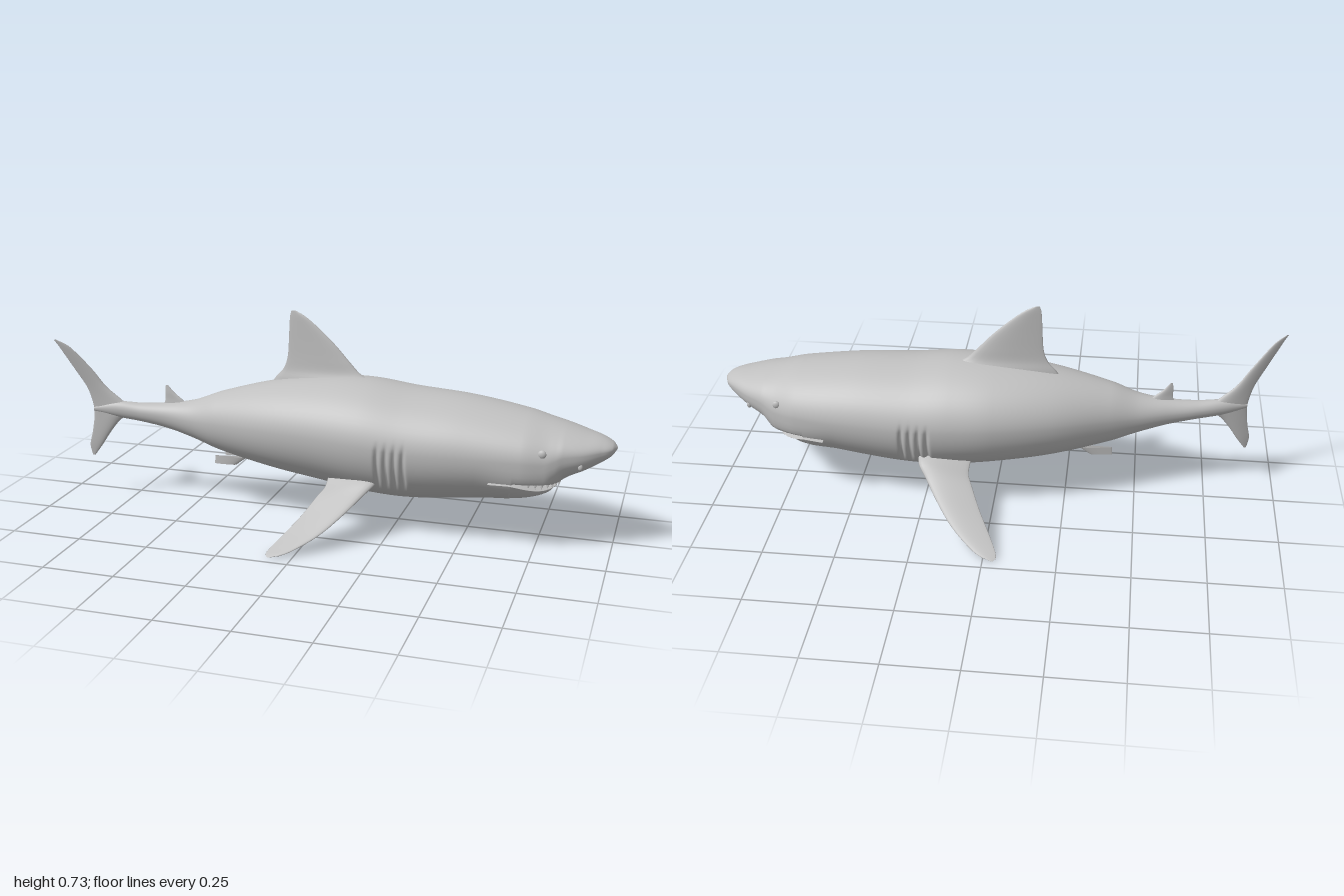
import * as THREE from 'three';

const skin = new THREE.MeshStandardMaterial({ color: 0xc0c0c0, side: THREE.DoubleSide });
skin.name = 'grey skin';
const ivory = new THREE.MeshStandardMaterial({ color: 0xdedede, side: THREE.DoubleSide });
ivory.name = 'pale teeth';

// Smooth interpolation of table rows [key, ...values]
function sample(rows, k) {
  let i = 0;
  while (i < rows.length - 2 && k > rows[i + 1][0]) i++;
  const a = rows[i], b = rows[i + 1], h = b[0] - a[0];
  const t = THREE.MathUtils.clamp((k - a[0]) / h, 0, 1);
  const p = rows[Math.max(i - 1, 0)], q = rows[Math.min(i + 2, rows.length - 1)];
  return a.slice(1).map((_, n) => {
    const c = n + 1;
    const m0 = (b[c] - p[c]) / (b[0] - p[0]) * h, m1 = (q[c] - a[c]) / (q[0] - a[0]) * h;
    const t2 = t * t, t3 = t2 * t;
    return (2 * t3 - 3 * t2 + 1) * a[c] + (t3 - 2 * t2 + t) * m0 + (3 * t2 - 2 * t3) * b[c] + (t3 - t2) * m1;
  });
}

// Skin a list of closed rings of [x, y, z]
function loft(name, rings) {
  const n = rings[0].length, index = [];
  for (let i = 0; i < rings.length - 1; i++) {
    for (let j = 0; j < n; j++) {
      const a = i * n + j, b = i * n + (j + 1) % n;
      index.push(a, a + n, b, b, a + n, b + n);
    }
  }
  const g = new THREE.BufferGeometry();
  g.setAttribute('position', new THREE.Float32BufferAttribute(rings.flat(2), 3));
  g.setIndex(index);
  g.computeVertexNormals();
  const mesh = new THREE.Mesh(g, skin);
  mesh.name = name;
  return mesh;
}

// Body: x, bottom, top, half width
const PROFILE = [
  [-0.88, 0.33, 0.345, 0.004], [-0.8, 0.31, 0.367, 0.02], [-0.7, 0.295, 0.365, 0.03],
  [-0.6, 0.275, 0.372, 0.042], [-0.5, 0.245, 0.39, 0.066], [-0.4, 0.21, 0.428, 0.1],
  [-0.2, 0.165, 0.48, 0.166], [0, 0.135, 0.508, 0.208], [0.15, 0.115, 0.512, 0.222],
  [0.3, 0.11, 0.496, 0.22], [0.5, 0.13, 0.482, 0.208], [0.7, 0.16, 0.453, 0.183],
  [0.78, 0.18, 0.435, 0.158], [0.81, 0.212, 0.428, 0.146], [0.835, 0.245, 0.422, 0.135],
  [0.9, 0.28, 0.405, 0.105], [0.95, 0.31, 0.392, 0.072], [0.985, 0.336, 0.376, 0.04], [1, 0.358, 0.36, 0.001],
];
// Sideways bend of the spine: x, z
const SPINE = [[-1, 0.143], [-0.88, 0.092], [-0.8, 0.072], [-0.6, 0.045], [-0.4, 0.03],
  [-0.2, 0.015], [0, 0.008], [0.15, 0.012], [0.4, 0.018], [0.6, 0.025], [0.8, 0.04], [0.9, 0.05], [1, 0.06]];
const spineZ = x => sample(SPINE, x)[0];
const step = THREE.MathUtils.smoothstep;
const upperLip = (x, bot) => bot + (0.247 - bot) * step(x, 0.655, 0.68);
const lowerLip = x => 0.24 - 0.034 * step(x, 0.66, 0.8);
const GILLS = [0.225, 0.255, 0.285, 0.315];

function bodyRing(x, place, count = 56) {
  const [bot, top, w] = sample(PROFILE, x), zc = spineZ(x), mid = bot + 0.55 * (top - bot);
  const ring = [];
  for (let j = 0; j < count; j++) {
    const a = j / count * Math.PI * 2, c = Math.cos(a), s = Math.sin(a);
    const e = 2 / (s > 0 ? 1.95 : 2 + 0.5 * step(x, 0.55, 0.72));
    const y = mid + (s > 0 ? top - mid : mid - bot) * Math.sign(s) * Math.abs(s) ** e;
    const z = w * Math.sign(c) * Math.abs(c) ** e;
    ring.push(place(x, y, z, zc, bot));
  }
  return ring;
}

// Body with gill grooves and a flat palate
function body() {
  const rings = [];
  for (let i = 0; i <= 420; i++) {
    const x = 1 - 1.88 * (i / 420) ** 1.3;
    rings.push(bodyRing(x, (px, y, z, zc, bot) => {
      const band = step(y, 0.17, 0.21) * (1 - step(y, 0.31, 0.35));
      const groove = GILLS.reduce((sum, g) => sum + Math.exp(-(((x - g) / 0.007) ** 2)), 0);
      const lip = upperLip(x, bot);
      if (y < lip) y = lip + (y - lip) * 0.05;
      return [px, y, zc + z - Math.sign(z) * 0.011 * groove * band];
    }));
  }
  return loft('body', rings);
}

// Lower jaw follows the same sections, cut level at the lip
function jaw() {
  const rings = [];
  for (let i = 0; i <= 50; i++) {
    const x = 0.6 + 0.207 * i / 50;
    const round = Math.sqrt(Math.max(0, 1 - (Math.max(0, x - 0.67) / 0.138) ** 2));
    rings.push(bodyRing(x, (px, y, z, zc) => {
      const lip = lowerLip(x);
      if (y > lip) y = lip + (y - lip) * 0.03;
      return [px, y + 0.001, zc + z * 0.995 * round];
    }));
  }
  return loft('lowerJaw', rings);
}

// Fin blade from rows [key, leadX, leadY, leadZ, trailX, trailY, trailZ, thickness]
function fin(name, rows, dir, bend = () => 0) {
  const rings = [], first = rows[0][0], last = rows[rows.length - 1][0];
  for (let i = 0; i <= 36; i++) {
    const [lx, ly, lz, tx, ty, tz, th] = sample(rows, first + (last - first) * i / 36);
    const ring = [];
    for (let j = 0; j < 24; j++) {
      const a = j / 24 * Math.PI * 2, u = (1 + Math.cos(a)) / 2;
      const t = th * Math.sin(a) * (0.35 + 0.65 * u);
      const x = tx + (lx - tx) * u + dir[0] * t;
      ring.push([x, ty + (ly - ty) * u + dir[1] * t, tz + (lz - tz) * u + dir[2] * t + bend(x)]);
    }
    rings.push(ring);
  }
  return loft(name, rings);
}

// Upright fin from rows [y, leadX, trailX, thickness]
const uprightFin = (name, rows, bend) =>
  fin(name, rows.map(([y, l, t, th]) => [y, l, y, 0, t, y, 0, th]), [0, 0, 1], bend);

function pectoralFin(side) {
  const dx = side > 0 ? 0 : 0.045;
  const rows = [
    [0.12, 0.22, 0.21, 0.03, 0.2, 0.03], [0.19, 0.21, 0.19, 0.035, 0.165, 0.022],
    [0.23, 0.18, 0.16, 0.02, 0.145, 0.016], [0.3, 0.13, 0.11, -0.015, 0.095, 0.012],
    [0.37, 0.07, 0.06, -0.055, 0.05, 0.009], [0.43, 0, 0.022, -0.085, 0.018, 0.006],
    [0.455, -0.04, 0.008, -0.09, 0.006, 0.004], [0.465, -0.075, 0.002, -0.08, 0.001, 0.001],
  ].map(([z, lx, ly, tx, ty, th]) => [z, lx + dx, ly, z * side, tx + dx, ty, z * side, th]);
  return fin(side > 0 ? 'rightPectoralFin' : 'leftPectoralFin', rows, [0, 0.87, 0.5 * side]);
}

// Two rows of pointed teeth along the jaw arcs
function teeth() {
  const group = new THREE.Group();
  group.name = 'teeth';
  const addRow = (count, cx, rx, rz, h, r, upper) => {
    for (let i = 0; i < count; i++) {
      const a = (i / (count - 1) - 0.5) * 2.7, size = 0.6 + 0.4 * Math.cos(a);
      const x = cx + rx * Math.cos(a);
      const tooth = new THREE.Mesh(new THREE.ConeGeometry(r * size, h * size, 5), ivory);
      tooth.name = upper ? 'upperTooth' : 'lowerTooth';
      const y = upper ? 0.249 - h * size / 2 : lowerLip(x) - 0.003 + h * size / 2;
      tooth.position.set(x, y, spineZ(x) + rz * Math.sin(a));
      if (upper) tooth.rotation.x = Math.PI;
      group.add(tooth);
    }
  };
  addRow(17, 0.672, 0.145, 0.148, 0.036, 0.012, true);
  addRow(15, 0.66, 0.128, 0.115, 0.028, 0.01, false);
  return group;
}

// Small raised spot set on the head surface
function spot(name, x, y, side, r, sx, sy) {
  const ring = bodyRing(x, (px, py, z, zc) => [py, z, zc], 200).filter(p => p[1] * side > 0);
  const near = ring.reduce((a, b) => Math.abs(a[0] - y) < Math.abs(b[0] - y) ? a : b);
  const m = new THREE.Mesh(new THREE.SphereGeometry(r, 20, 14), skin);
  m.name = name;
  m.scale.set(sx, sy, 0.6);
  m.position.set(x, y, near[1] + near[2]);
  return m;
}

export function createModel() {
  const shark = new THREE.Group();
  shark.name = 'shark';
  shark.add(body(), jaw(), teeth());
  shark.add(uprightFin('dorsalFin', [
    [0.45, 0.2, -0.23, 0.05], [0.49, 0.165, -0.205, 0.04], [0.52, 0.11, -0.178, 0.024], [0.56, 0.07, -0.162, 0.018],
    [0.62, 0.015, -0.156, 0.013], [0.68, -0.05, -0.153, 0.009], [0.715, -0.095, -0.15, 0.006], [0.733, -0.13, -0.145, 0.002],
  ]));
  shark.add(uprightFin('tailFin', [
    [0.16, -0.885, -0.893, 0.002], [0.2, -0.857, -0.9, 0.006], [0.25, -0.825, -0.89, 0.009],
    [0.3, -0.785, -0.882, 0.013], [0.335, -0.74, -0.88, 0.017], [0.37, -0.775, -0.885, 0.014],
    [0.42, -0.832, -0.9, 0.01], [0.48, -0.875, -0.932, 0.008], [0.54, -0.922, -0.965, 0.006],
    [0.58, -0.958, -0.987, 0.004], [0.6, -0.992, -1, 0.001],
  ], spineZ));
  shark.add(uprightFin('secondDorsalFin', [
    [0.355, -0.52, -0.625, 0.014], [0.385, -0.55, -0.615, 0.009], [0.41, -0.58, -0.615, 0.006], [0.438, -0.604, -0.612, 0.001],
  ], spineZ));
  shark.add(uprightFin('analFin', [
    [0.3, -0.54, -0.615, 0.012], [0.275, -0.57, -0.617, 0.008], [0.25, -0.605, -0.62, 0.001],
  ], spineZ));
  for (const side of [-1, 1]) {
    shark.add(pectoralFin(side));
    shark.add(uprightFin('pelvicFin', [
      [0.235, -0.27, -0.415, 0.014], [0.2, -0.295, -0.412, 0.01], [0.17, -0.335, -0.414, 0.006], [0.145, -0.39, -0.415, 0.001],
    ], x => spineZ(x) + side * 0.05));
    shark.add(spot('eye', 0.77, 0.355, side, 0.014, 1, 1));
    shark.add(spot('nostril', 0.89, 0.31, side, 0.009, 0.9, 1.3));
  }
  return shark;
}
